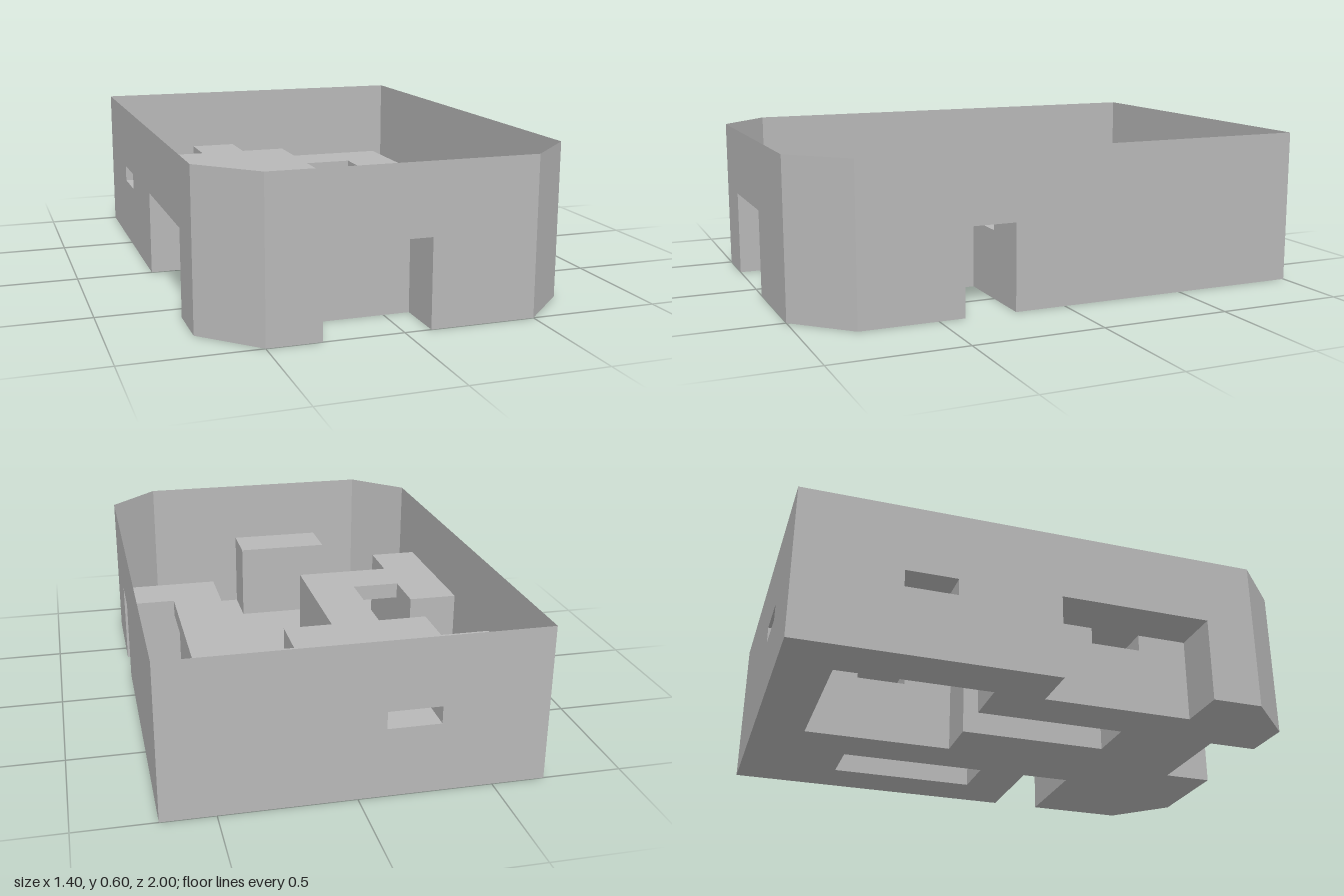
import * as THREE from 'three';
import { mergeGeometries } from 'three/addons/utils/BufferGeometryUtils.js';

// Plan, back row first: '.' floor, 'H' hollow block open below,
// 'S' hollow bridge slab above the floor, 'c' chamfered corner
const PLAN = [
  '..S....',
  '.HHH...',
  'SHHHSH.',
  '.HHH.H.',
  '..H..H.',
  'H.H..S.',
  'HSH..HH',
  'H......',
  '.......',
  'c.HH..c',
];
const CELL = 0.2, HALF = CELL / 2;
const UNDER = 0.2667, DECK = 0.3333, RIM = 0.6;

// Flat polygon of three or four corners
function face(...pts) {
  const g = new THREE.BufferGeometry();
  g.setAttribute('position', new THREE.Float32BufferAttribute(pts.flat(), 3));
  g.setIndex(pts.length === 4 ? [0, 1, 2, 0, 2, 3] : [0, 1, 2]);
  const flat = g.toNonIndexed();
  flat.computeVertexNormals();
  return flat;
}

// Upright panel from a to b (x, z) between two heights
const panel = ([ax, az], [bx, bz], y0, y1) =>
  face([ax, y0, az], [bx, y0, bz], [bx, y1, bz], [ax, y1, az]);

// Level square tile centred on x, z
const tile = (x, z, y) => face(
  [x - HALF, y, z + HALF], [x + HALF, y, z + HALF],
  [x + HALF, y, z - HALF], [x - HALF, y, z - HALF]);

export function createModel() {
  const grey = new THREE.MeshStandardMaterial({ color: 0xb8b8b8, side: THREE.DoubleSide });
  grey.name = 'plain grey';
  const parts = { outerWalls: [], floor: [], hollowBlocks: [], bridges: [] };
  const cellAt = (i, j) => PLAN[j]?.[i];

  PLAN.forEach((row, j) => [...row].forEach((type, i) => {
    const x = (i - 3) * CELL, z = (j - 4.5) * CELL;

    // Chamfered front corners
    if (type === 'c') {
      const l = x - HALF, r = x + HALF, b = z - HALF, f = z + HALF;
      if (x < 0) {
        parts.floor.push(face([l, 0, b], [r, 0, f], [r, 0, b]));
        parts.outerWalls.push(panel([l, b], [r, f], 0, RIM));
      } else {
        parts.floor.push(face([l, 0, b], [l, 0, f], [r, 0, b]));
        parts.outerWalls.push(panel([l, f], [r, b], 0, RIM));
      }
      return;
    }

    // Floor, decks and undersides
    if (type !== 'H') parts.floor.push(tile(x, z, 0));
    if (type === 'H') parts.hollowBlocks.push(tile(x, z, DECK));
    if (type === 'S') parts.bridges.push(tile(x, z, DECK), tile(x, z, UNDER));

    // Upright sides of the cell
    for (const [dx, dz] of [[1, 0], [-1, 0], [0, 1], [0, -1]]) {
      const mx = x + dx * HALF, mz = z + dz * HALF;
      const a = [mx - dz * HALF, mz + dx * HALF];
      const b = [mx + dz * HALF, mz - dx * HALF];
      const next = cellAt(i + dx, j + dz);
      if (next === undefined) {
        // Outer wall, with doorways at blocks and slots at bridges
        if (type === '.') parts.outerWalls.push(panel(a, b, 0, RIM));
        else parts.outerWalls.push(panel(a, b, DECK, RIM));
        if (type === 'S') parts.outerWalls.push(panel(a, b, 0, UNDER));
      } else if (type === 'H' && next !== 'H') {
        parts.hollowBlocks.push(panel(a, b, 0, next === 'S' ? UNDER : DECK));
      } else if (type === 'S' && next === '.') {
        parts.bridges.push(panel(a, b, UNDER, DECK));
      }
    }
  }));

  const model = new THREE.Group();
  model.name = 'walledTray';
  for (const [name, faces] of Object.entries(parts)) {
    const mesh = new THREE.Mesh(mergeGeometries(faces), grey);
    mesh.name = name;
    model.add(mesh);
  }
  return model;
}
